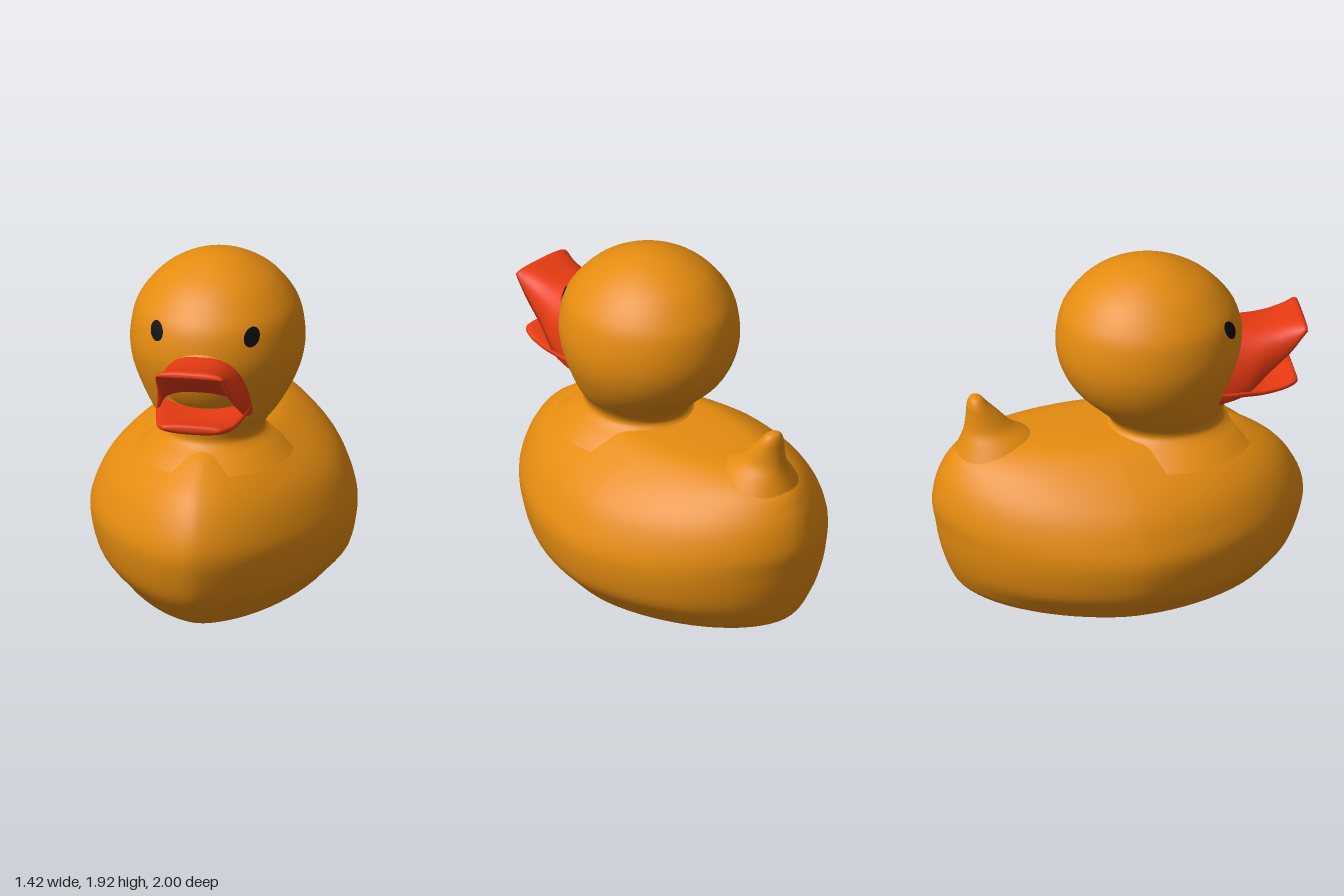
import * as THREE from 'three';

const material = (name, color) => Object.assign(new THREE.MeshStandardMaterial({ color }), { name });

// Smoothly resample a list of number rows (uniform Catmull-Rom per column).
function resample(rows, steps) {
  const out = [];
  const at = (i) => rows[Math.min(Math.max(i, 0), rows.length - 1)];
  for (let i = 0; i < rows.length - 1; i++) {
    for (let s = 0; s < steps; s++) {
      const t = s / steps;
      out.push(rows[i].map((p1, k) => {
        const p0 = at(i - 1)[k], p2 = at(i + 1)[k], p3 = at(i + 2)[k];
        return p1 + 0.5 * t * (p2 - p0 + t * (2 * p0 - 5 * p1 + 4 * p2 - p3 + t * (3 * (p1 - p2) + p3 - p0)));
      }));
    }
  }
  out.push(rows[rows.length - 1]);
  return out;
}

// Skin closed loops of [x, y, z] points; loops run counter-clockwise about the direction of travel.
function loft(rings) {
  const n = rings[0].length, index = [];
  for (let i = 0; i < rings.length - 1; i++) {
    for (let j = 0; j < n; j++) {
      const a = i * n + j, b = i * n + (j + 1) % n;
      index.push(a, b, b + n, a, b + n, a + n);
    }
  }
  const geometry = new THREE.BufferGeometry();
  geometry.setAttribute('position', new THREE.Float32BufferAttribute(rings.flat(2), 3));
  geometry.setIndex(index);
  geometry.computeVertexNormals();
  return geometry;
}

const power = (v, e) => Math.sign(v) * Math.abs(v) ** e;

// Horizontal rings from rows of [y, front z, back z, half width].
function stack(rows, frontPower = 1, backPower = 1, n = 64) {
  return resample(rows, 5).map(([y, front, back, w]) => {
    const ring = [];
    for (let j = 0; j < n; j++) {
      const a = (j / n) * Math.PI * 2, c = Math.sin(a), s = Math.cos(a);
      const e = c < 0 ? frontPower : backPower;
      ring.push([w * power(s, e), y, (front + back) / 2 - (front - back) / 2 * power(c, e)]);
    }
    return ring;
  });
}

export function createModel() {
  const model = new THREE.Group();
  const yellow = material('warm yellow', 0xe58c10);
  const red = material('bill red', 0xe63a12);
  const black = material('eye black', 0x0c0c0c);
  const grey = material('plug grey', 0x7c7878);

  const add = (name, geometry, mat) => {
    const mesh = new THREE.Mesh(geometry, mat);
    mesh.name = name;
    model.add(mesh);
    return mesh;
  };

  // Body, with its flat base sloping up slightly to the rear
  const bodyRings = stack([
    [0, -0.05, -0.05, 0], [0, 0.6, -0.72, 0.4], [0.005, 0.71, -0.81, 0.47],
    [0.04, 0.78, -0.865, 0.53], [0.1, 0.84, -0.9, 0.585], [0.2, 0.92, -0.935, 0.665],
    [0.32, 0.97, -0.965, 0.7], [0.45, 1, -0.985, 0.71], [0.56, 0.985, -1, 0.68],
    [0.68, 0.93, -0.98, 0.62], [0.78, 0.85, -0.94, 0.53], [0.87, 0.73, -0.87, 0.41],
    [0.93, 0.62, -0.72, 0.3], [0.95, 0.5, -0.5, 0.2], [0.955, 0, 0, 0],
  ], 1.2, 1.1);
  for (const p of bodyRings.flat()) {
    p[1] = Math.max(0, p[1] + 0.0325 * (0.72 - p[2]) * Math.max(0, 1 - p[1] / 0.5));
  }
  add('body', loft(bodyRings), yellow);

  // Tail
  add('tail', loft(stack([
    [0.8, -0.35, -0.9, 0.26], [0.93, -0.45, -0.85, 0.17], [1, -0.56, -0.83, 0.11],
    [1.08, -0.64, -0.82, 0.085], [1.14, -0.7, -0.815, 0.068], [1.18, -0.735, -0.8, 0.042],
    [1.192, -0.77, -0.77, 0],
  ], 1, 1, 32)), yellow);

  // Head and neck
  const head = add('head', loft(stack([
    [0.84, 0.72, -0.2, 0.42], [0.9, 0.65, -0.13, 0.35], [0.945, 0.59, -0.065, 0.29],
    [0.98, 0.565, -0.04, 0.267], [1.03, 0.57, -0.07, 0.285], [1.1, 0.59, -0.14, 0.34],
    [1.2, 0.615, -0.24, 0.4], [1.32, 0.65, -0.305, 0.448], [1.45, 0.67, -0.33, 0.466],
    [1.6, 0.645, -0.31, 0.445], [1.7, 0.585, -0.26, 0.395], [1.8, 0.485, -0.17, 0.305],
    [1.87, 0.36, -0.05, 0.195], [1.905, 0.26, 0.06, 0.095], [1.918, 0.16, 0.16, 0],
  ])), yellow);

  // Muzzle swelling behind the bill
  const muzzle = add('muzzle', new THREE.SphereGeometry(1, 40, 24), yellow);
  muzzle.scale.set(0.225, 0.215, 0.11);
  muzzle.position.set(0, 1.33, 0.565);
  muzzle.rotation.x = 0.36;

  // Upper bill: arched top, hollow palate.
  // Rows: [top z, top y, edge z, edge y, half width, palate height share, corner power]
  const upperRows = [
    [0.6, 1.51, 0.5, 1.14, 0.25, 0.4, 0.8], [0.73, 1.503, 0.65, 1.18, 0.238, 0.4, 0.75],
    [0.83, 1.508, 0.79, 1.29, 0.203, 0.45, 0.65], [0.92, 1.527, 0.9, 1.385, 0.189, 0.5, 0.6],
    [0.975, 1.538, 0.97, 1.475, 0.187, 0.5, 0.6], [0.995, 1.53, 0.99, 1.495, 0.18, 0.6, 0.6],
    [1, 1.518, 0.998, 1.505, 0.165, 0.9, 0.6], [1, 1.515, 1, 1.51, 0, 1, 0.6],
  ];
  const upper = resample(upperRows, 5).map(([zt, yt, ze, ye, w, share, e]) => {
    const ring = [], n = 28;
    for (let j = 0; j < 2 * n; j++) {
      const inner = j > n, a = (inner ? 2 * n - j : j) / n * Math.PI;
      const rise = Math.max(0, Math.sin(a)) ** e * (inner ? share : 1);
      ring.push([w * (inner ? 0.93 : 1) * power(Math.cos(a), e), ye + (yt - ye) * rise, ze + (zt - ze) * rise]);
    }
    return ring;
  });
  add('upperBill', loft(upper), red);

  // Lower bill: shallow scoop. Rows: [z, top y, bottom y, half width]
  const lower = resample([
    [0.48, 1.2, 1.11, 0.25], [0.6, 1.19, 1.11, 0.25], [0.73, 1.185, 1.115, 0.23],
    [0.84, 1.195, 1.135, 0.207], [0.91, 1.215, 1.155, 0.185], [0.94, 1.215, 1.17, 0.16],
    [0.948, 1.2, 1.185, 0.13], [0.948, 1.193, 1.192, 0],
  ], 5).map(([z, top, bottom, w]) => {
    const ring = [], n = 40;
    for (let j = 0; j < n; j++) {
      const a = (j / n) * Math.PI * 2, c = power(Math.cos(a), 0.75);
      const lift = 0.04 * c * c * Math.min(1, Math.max(0, (0.95 - z) / 0.3));
      ring.push([w * c, (top + bottom) / 2 + (top - bottom) / 2 * power(Math.sin(a), 0.75) + lift, z]);
    }
    return ring;
  });
  add('lowerBill', loft(lower), red);

  // Eyes: thin ovals laid onto the head surface
  head.updateMatrixWorld();
  const ray = new THREE.Raycaster();
  for (const side of [1, -1]) {
    const eye = new THREE.CircleGeometry(1, 28);
    eye.scale(0.038, 0.051, 1);
    eye.translate(side * 0.257, 1.597, 0);
    const p = eye.attributes.position;
    for (let i = 0; i < p.count; i++) {
      ray.set(new THREE.Vector3(p.getX(i), p.getY(i), 2), new THREE.Vector3(0, 0, -1));
      const hit = ray.intersectObject(head)[0];
      p.setZ(i, (hit ? hit.point.z : 0.55) + 0.008);
    }
    eye.computeVertexNormals();
    add(side > 0 ? 'leftEye' : 'rightEye', eye, black);
  }

  // Round plug in the base
  const plug = add('basePlug', new THREE.CylinderGeometry(0.05, 0.05, 0.008, 32), grey);
  plug.position.set(0, 0.0235, -0.05);
  plug.rotation.x = 0.0325;

  return model;
}
